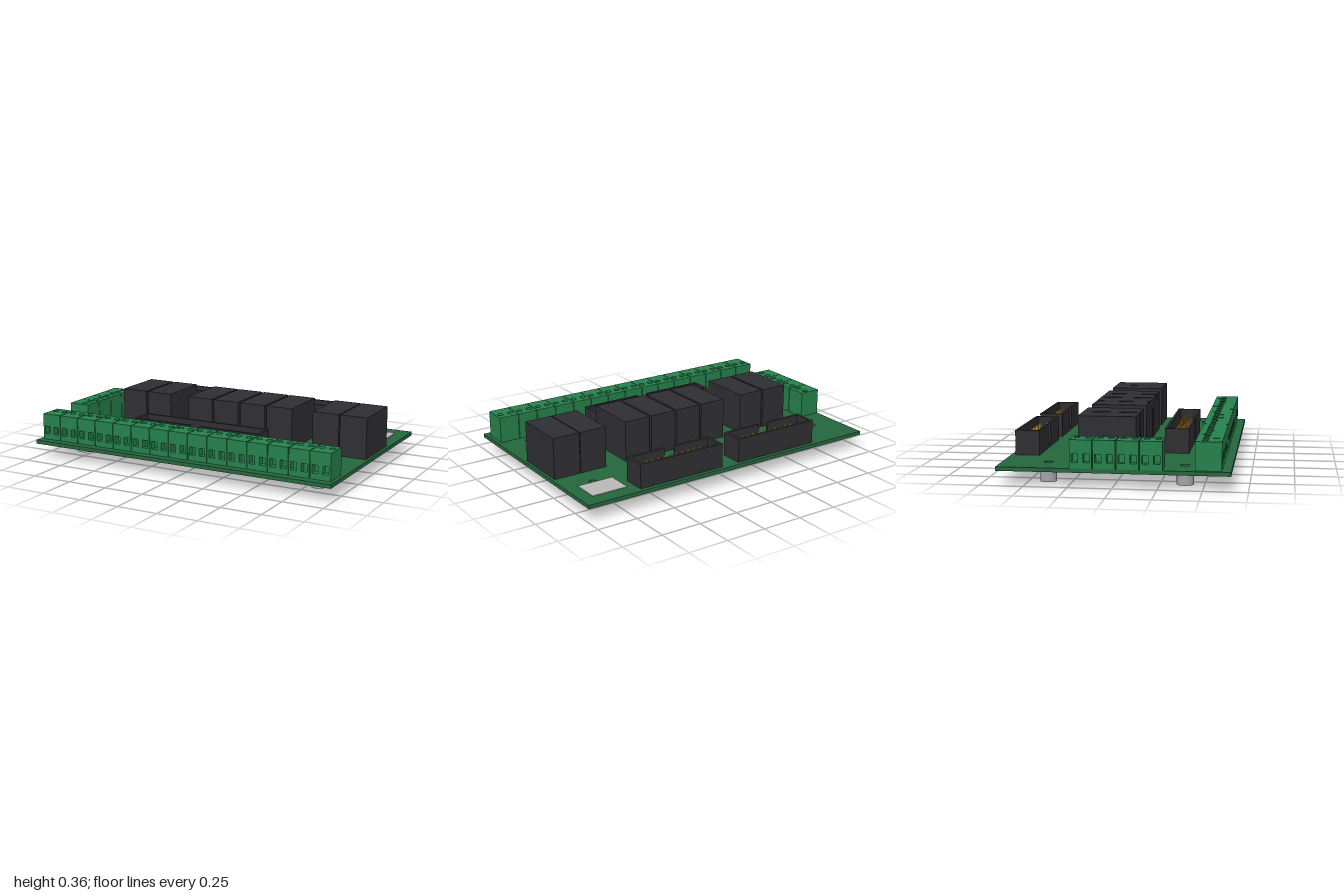
import * as THREE from 'three';
import { toCreasedNormals } from 'three/addons/utils/BufferGeometryUtils.js';

const mat = (color) => new THREE.MeshStandardMaterial({ color });
const boardMat = mat(0x24663c), terminalMat = mat(0x26804c), blackMat = mat(0x2f2f33);
const pinMat = mat(0xc8962a), metalMat = mat(0xa2a4aa), labelMat = mat(0xb8b8b8);
const TOP = 0.108, BASE = 0.085;

function add(parent, name, geometry, material, x = 0, y = 0, z = 0) {
  const mesh = new THREE.Mesh(geometry, material);
  mesh.name = name;
  mesh.position.set(x, y, z);
  parent.add(mesh);
  return mesh;
}

// Box given by its centre in x and z and its lower and upper y
const box = (parent, name, material, x, z, w, d, y0, y1) =>
  add(parent, name, new THREE.BoxGeometry(w, y1 - y0, d), material, x, (y0 + y1) / 2, z);

function rect(w, h) {
  return new THREE.Shape([[-w, -h], [w, -h], [w, h], [-w, h]].map(([x, y]) => new THREE.Vector2(x / 2, y / 2)));
}

const circle = (x, y, r) => new THREE.Path().absarc(x, y, r, 0, Math.PI * 2, true);

function extrude(shape, depth) {
  const g = new THREE.ExtrudeGeometry(shape, { depth, bevelEnabled: false, curveSegments: 24 });
  return toCreasedNormals(g, 0.6);
}

// Flat shape stood on the xz plane and raised by height
const extrudeUp = (shape, height) => extrude(shape, height).rotateX(-Math.PI / 2);

// Two-pole screw terminal, wire openings facing +z, standing on y = 0
function makeTerminal(depth) {
  const W = 0.126, H = 0.162, F = 0.04, LID = 0.03, back = depth - F;
  const front = rect(W, H), lid = rect(W, back);
  for (const s of [-1, 1]) {
    const x = s * 0.0325, y = -0.022;
    front.holes.push(new THREE.Path([[-1, -1], [-1, 1], [1, 1], [1, -1]]
      .map(([a, b]) => new THREE.Vector2(x + a * 0.018, y + b * 0.024))));
    lid.holes.push(circle(x, 0, 0.018));
  }
  const g = new THREE.Group();
  const zBack = -depth / 2 + back / 2;
  add(g, 'wireOpenings', extrude(front, F), terminalMat, 0, H / 2, depth / 2 - F);
  box(g, 'terminalBody', terminalMat, 0, zBack, W, back, 0, H - LID);
  add(g, 'screwOpenings', extrudeUp(lid, LID), terminalMat, 0, H - LID, zBack);
  return g;
}

// Open box header with a slot in its +z wall and two rows of pins
function makeHeader(width, columns) {
  const g = new THREE.Group();
  const D = 0.145, H = 0.147, T = 0.017, SLOT = 0.07, FLOOR = 0.02;
  box(g, 'headerFloor', blackMat, 0, 0, width, D, 0, FLOOR);
  box(g, 'headerBackWall', blackMat, 0, -(D - T) / 2, width, T, FLOOR, H);
  for (const s of [-1, 1]) {
    box(g, 'headerEndWall', blackMat, s * (width - T) / 2, 0, T, D - 2 * T, FLOOR, H);
    const part = (width - SLOT) / 2;
    box(g, 'headerFrontWall', blackMat, s * (SLOT + part) / 2, (D - T) / 2, part, T, FLOOR, H);
  }
  for (let i = 0; i < columns; i++) {
    for (const s of [-1, 1]) {
      box(g, 'pin', pinMat, (i - (columns - 1) / 2) * 0.0415, s * 0.021, 0.01, 0.01, FLOOR, 0.12);
    }
  }
  return g;
}

function place(parent, name, object, x, z, turn = 0) {
  object.name = name;
  object.position.set(x, TOP, z);
  object.rotation.y = turn;
  parent.add(object);
}

export function createModel() {
  const model = new THREE.Group();
  model.name = 'relayBoard';

  // Circuit board with mounting holes, and hollow standoffs below
  const board = rect(2, 1.31);
  const ring = new THREE.Shape().absarc(0, 0, 0.048, 0, Math.PI * 2, false);
  ring.holes.push(circle(0, 0, 0.026));
  const standoff = extrudeUp(ring, BASE);
  for (const x of [-0.815, 0.812]) {
    for (const z of [-0.39, 0.39]) {
      board.holes.push(circle(x, -z, 0.027));
      add(model, 'standoff', standoff, metalMat, x, 0, z);
    }
  }
  add(model, 'circuitBoard', extrudeUp(board, TOP - BASE), boardMat, 0, BASE, 0);

  // Screw terminals along the front and the right edge
  for (let i = 0; i < 15; i++) {
    place(model, 'frontTerminal', makeTerminal(0.148), (i - 7) * 0.1305, 0.53);
  }
  for (let i = 0; i < 4; i++) {
    place(model, 'sideTerminal', makeTerminal(0.136), -0.932, 0.022 + (i - 1.5) * 0.1305, -Math.PI / 2);
  }

  // Relays
  for (const x of [-0.62, -0.436, -0.135, 0.047, 0.232, 0.415, 0.722, 0.898]) {
    box(model, 'relay', blackMat, x, -0.071, 0.17, 0.338, TOP, 0.36);
  }

  // Pin headers
  place(model, 'backHeader', makeHeader(0.572, 10), -0.331, -0.557);
  place(model, 'backHeader', makeHeader(0.572, 10), 0.36, -0.557);
  place(model, 'frontHeader', makeHeader(0.86, 17), -0.014, 0.307);

  // Blank label plate
  box(model, 'labelPlate', labelMat, 0.808, -0.482, 0.226, 0.165, TOP, 0.112);
  return model;
}
